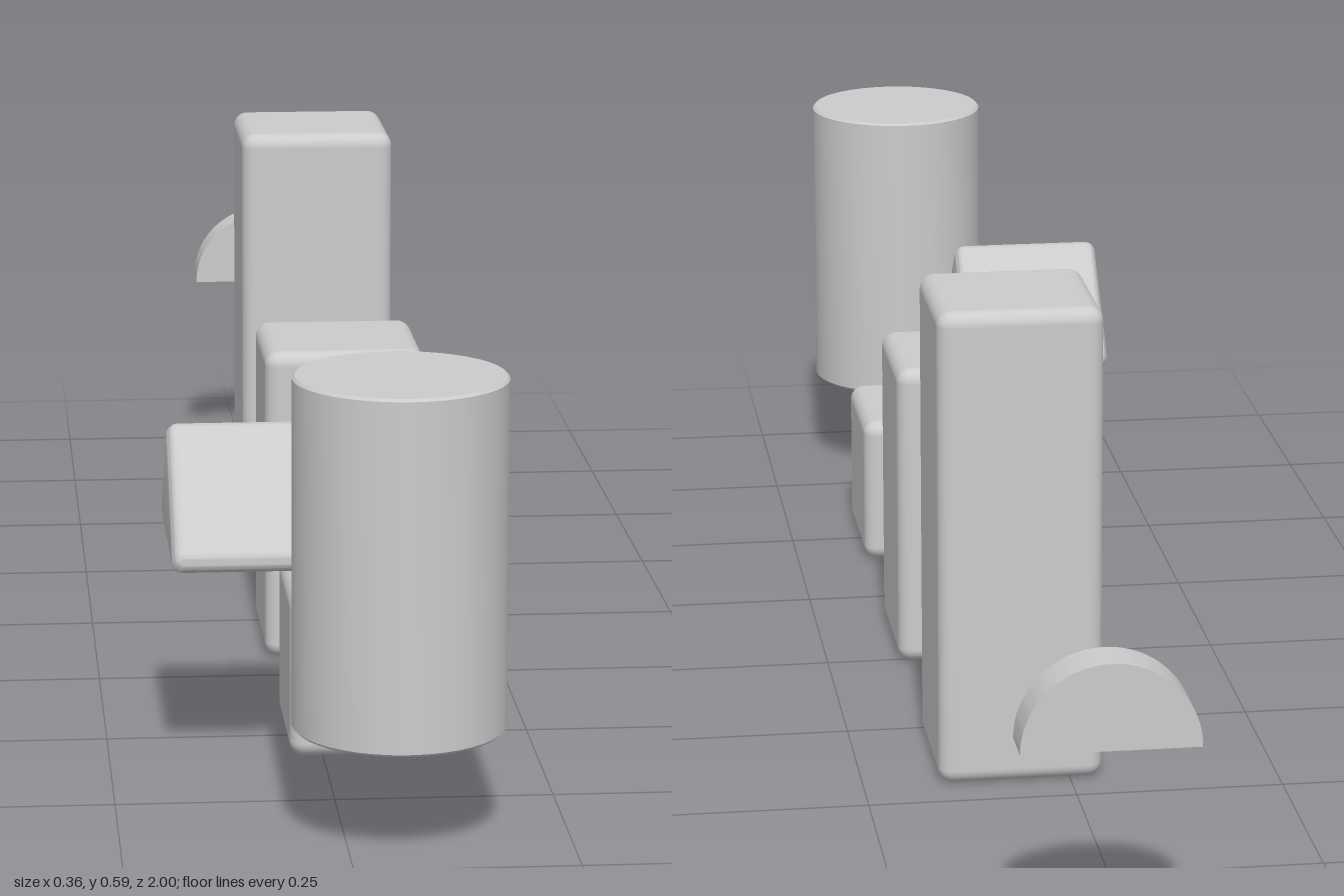
import * as THREE from 'three';
import { toCreasedNormals } from 'three/addons/utils/BufferGeometryUtils.js';
import { RoundedBoxGeometry } from 'three/addons/geometries/RoundedBoxGeometry.js';

const grey = new THREE.MeshStandardMaterial({ color: 0xcccccc });

export function createModel() {
  const group = new THREE.Group();
  const add = (name, geometry, x, y, z) => {
    const mesh = new THREE.Mesh(geometry, grey);
    mesh.name = name;
    mesh.position.set(x, y, z);
    group.add(mesh);
    return mesh;
  };

  // Row of three square blocks, each one unit taller than the last
  const unit = 0.196;
  [['smallBlock', 0.497], ['mediumBlock', 0.081], ['tallBlock', -0.353]].forEach(([name, z], i) => {
    const height = unit * (i + 1);
    add(name, new RoundedBoxGeometry(0.198, height, 0.198, 4, 0.018), 0.06, height / 2, z);
  });

  // Upright cylinder with a slightly eased rim
  const r = 0.119, h = 0.398, ease = 0.003;
  const profile = [[0, 0], [r - ease, 0], [r, ease], [r, h - ease], [r - ease, h], [0, h]]
    .map(([x, y]) => new THREE.Vector2(x, y));
  add('cylinderBlock', toCreasedNormals(new THREE.LatheGeometry(profile, 40), 0.6), 0.06, 0.127, 0.881);

  // Triangular roof block with rounded edges, running along x
  const bevel = 0.014, core = 0.001, half = 0.116;
  const roof = new THREE.Shape();
  roof.absarc(half, 0, core, -Math.PI / 2, Math.PI / 4);
  roof.absarc(0, half, core, Math.PI / 4, Math.PI * 3 / 4);
  roof.absarc(-half, 0, core, Math.PI * 3 / 4, Math.PI * 3 / 2);
  roof.closePath();
  const roofGeometry = new THREE.ExtrudeGeometry(roof, {
    depth: 0.196 - 2 * bevel, curveSegments: 6,
    bevelThickness: bevel, bevelSize: bevel, bevelSegments: 4,
  });
  roofGeometry.translate(0, 0, bevel - 0.098).rotateY(-Math.PI / 2);
  add('roofBlock', toCreasedNormals(roofGeometry, 0.6), -0.083, 0.266, 0.561);

  // Half disc lying on its flat side
  const arch = new THREE.Shape();
  arch.absarc(0, 0, 0.1, 0, Math.PI);
  arch.closePath();
  const archGeometry = new THREE.ExtrudeGeometry(arch, { depth: 0.055, curveSegments: 24, bevelEnabled: false });
  add('halfDiscBlock', toCreasedNormals(archGeometry, 0.6), 0.037, 0.248, -1);

  return group;
}
